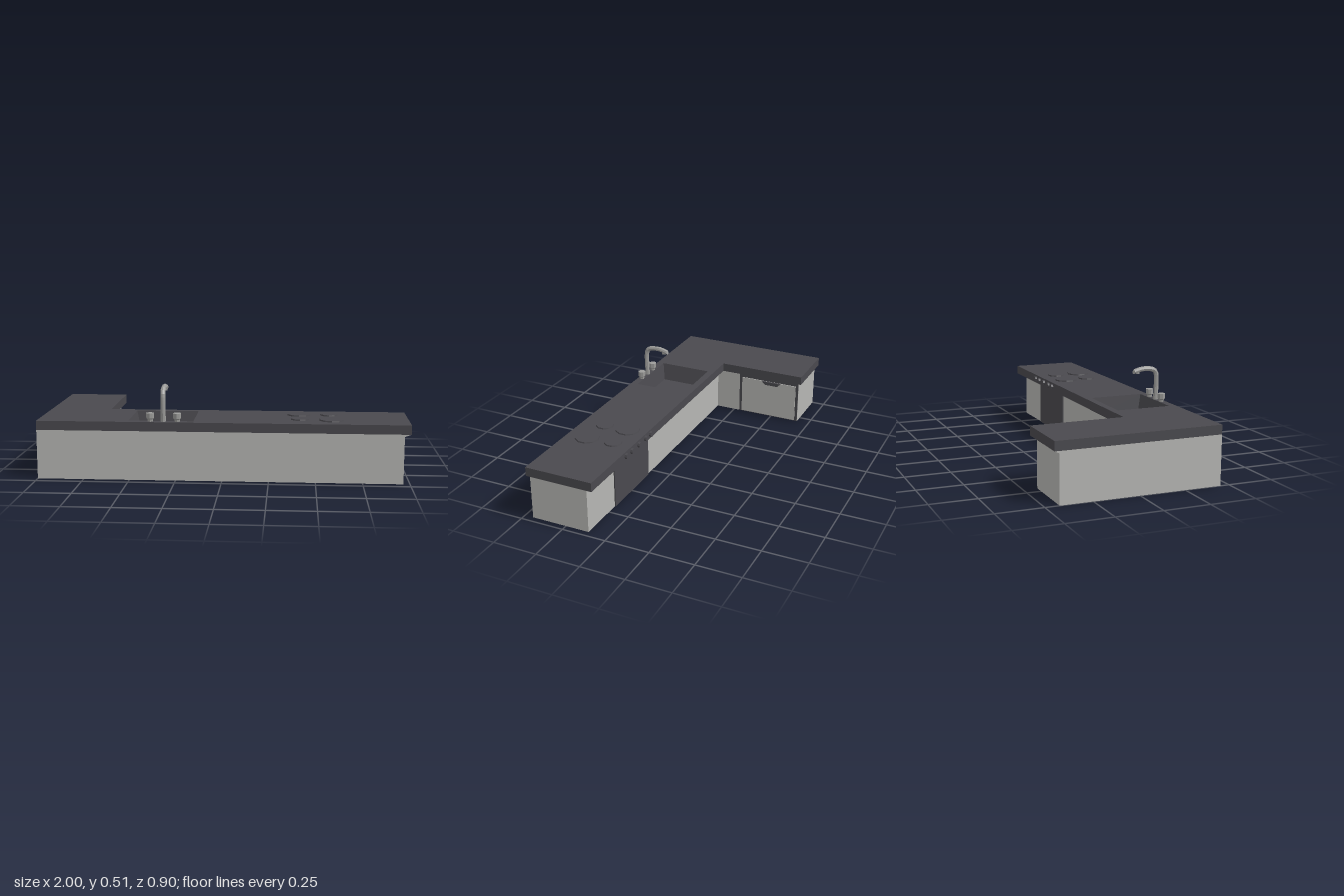
import * as THREE from 'three';

const dark = new THREE.MeshStandardMaterial({ color: 0x4a494e });
dark.name = 'darkStone';
const light = new THREE.MeshStandardMaterial({ color: 0xb6b6b3 });
light.name = 'lightCabinet';
const metal = new THREE.MeshStandardMaterial({ color: 0x9c9c9a });
metal.name = 'metal';

// Outlines are [x, z] pairs, counter-clockwise seen from above
const topOutline = [[-1, 0.45], [1, 0.45], [1, 0.065], [-0.66, 0.065], [-0.66, -0.45], [-1, -0.45]];
const baseOutline = [[-1, 0.45], [0.965, 0.45], [0.965, 0.115], [-0.695, 0.115], [-0.695, -0.425], [-1, -0.425]];
const COUNTER_BOTTOM = 0.268, COUNTER_TOP = 0.318;

function flat(geometry) {
  const g = geometry.index ? geometry.toNonIndexed() : geometry;
  g.computeVertexNormals();
  return g;
}

function add(parent, name, geometry, material, x = 0, y = 0, z = 0) {
  const mesh = new THREE.Mesh(geometry, material);
  mesh.name = name;
  mesh.position.set(x, y, z);
  parent.add(mesh);
  return mesh;
}

// Flat-shaded walls joining two outlines at different heights
function loft(lower, y0, upper, y1) {
  const p = [];
  lower.forEach((a, i) => {
    const j = (i + 1) % lower.length;
    const b = lower[j], c = upper[j], d = upper[i];
    p.push(a[0], y0, a[1], b[0], y0, b[1], c[0], y1, c[1]);
    p.push(a[0], y0, a[1], c[0], y1, c[1], d[0], y1, d[1]);
  });
  const g = new THREE.BufferGeometry();
  g.setAttribute('position', new THREE.Float32BufferAttribute(p, 3));
  g.computeVertexNormals();
  return g;
}

const toShape = (pts, flip = 1) => new THREE.Shape(pts.map(([x, z]) => new THREE.Vector2(x, z * flip)));

export function createModel() {
  const model = new THREE.Group();
  model.name = 'kitchenCounter';

  // Cabinet walls, flared underside of the overhang, and bottom
  const cabinet = new THREE.Group();
  cabinet.name = 'cabinet';
  model.add(cabinet);
  add(cabinet, 'cabinetWalls', loft(baseOutline, 0, baseOutline, 0.256), light);
  add(cabinet, 'overhangUnderside', loft(baseOutline, 0.256, topOutline, COUNTER_BOTTOM), light);
  add(cabinet, 'cabinetBottom', new THREE.ShapeGeometry(toShape(baseOutline)).rotateX(Math.PI / 2), light);

  // Countertop with the sink opening (clockwise, so basin walls face inward)
  const rim = [[-0.505, 0.41], [-0.505, 0.105], [-0.155, 0.105], [-0.155, 0.41]];
  const floor = [[-0.482, 0.392], [-0.482, 0.122], [-0.163, 0.122], [-0.163, 0.392]];
  const topShape = toShape(topOutline, -1);
  topShape.holes.push(toShape(rim, -1));
  const slab = new THREE.ExtrudeGeometry(topShape, { depth: COUNTER_TOP - COUNTER_BOTTOM, bevelEnabled: false });
  add(model, 'countertop', slab.rotateX(-Math.PI / 2), dark, 0, COUNTER_BOTTOM, 0);

  // Sink basin
  const sink = new THREE.Group();
  sink.name = 'sink';
  model.add(sink);
  add(sink, 'sinkWalls', loft(floor, 0.22, rim, COUNTER_TOP), dark);
  add(sink, 'sinkFloor', new THREE.ShapeGeometry(toShape(floor, -1)).rotateX(-Math.PI / 2), dark, 0, 0.22, 0);

  // Faucet: bent spout, nozzle and two taps
  const faucet = new THREE.Group();
  faucet.name = 'faucet';
  model.add(faucet);
  const path = new THREE.CurvePath();
  const bends = [[0.318, 0.425], [0.472, 0.423], [0.489, 0.405], [0.496, 0.35], [0.493, 0.325], [0.483, 0.29]]
    .map(([y, z]) => new THREE.Vector3(-0.315, y, z));
  for (let i = 1; i < bends.length; i++) path.add(new THREE.LineCurve3(bends[i - 1], bends[i]));
  const curve = new THREE.CatmullRomCurve3(bends, false, 'centripetal');
  add(faucet, 'spout', flat(new THREE.TubeGeometry(curve, 18, 0.014, 8)), metal);
  const tip = add(faucet, 'spoutTip', flat(new THREE.CylinderGeometry(0.014, 0.014, 0.004, 8)), metal, -0.315, 0.483, 0.29);
  tip.rotation.x = -Math.PI / 2 + 0.28;
  add(faucet, 'nozzle', flat(new THREE.CylinderGeometry(0.012, 0.011, 0.016, 8)), metal, -0.315, 0.477, 0.312);
  for (const x of [-0.385, -0.24]) {
    const profile = [[0, 0], [0.014, 0], [0.015, 0.012], [0.021, 0.018], [0.022, 0.046], [0, 0.048]]
      .map(([r, y]) => new THREE.Vector2(r, y));
    add(faucet, 'tap', flat(new THREE.LatheGeometry(profile, 8)), metal, x, COUNTER_TOP, 0.425);
  }

  // Hob burners
  const burners = [[0.41, 0.175, 0.068], [0.575, 0.175, 0.05], [0.415, 0.315, 0.05], [0.585, 0.328, 0.068]];
  for (const [x, z, r] of burners) {
    add(model, 'burner', flat(new THREE.CylinderGeometry(r - 0.002, r, 0.008, 10)), dark, x, 0.321, z);
  }

  // Oven front and its control knobs on the counter edge
  add(model, 'ovenFront', new THREE.BoxGeometry(0.385, 0.25, 0.008), dark, 0.493, 0.126, 0.113);
  for (const x of [0.357, 0.415, 0.495, 0.575, 0.637]) {
    const knob = flat(new THREE.CylinderGeometry(0.016, 0.016, 0.016, 8).rotateX(Math.PI / 2));
    add(model, 'ovenKnob', knob, dark, x, 0.294, 0.06);
  }

  // Dishwasher on the inner face of the short leg
  const dishwasher = new THREE.Group();
  dishwasher.name = 'dishwasher';
  model.add(dishwasher);
  add(dishwasher, 'dishwasherFrame', new THREE.BoxGeometry(0.006, 0.252, 0.388), dark, -0.694, 0.128, -0.23);
  add(dishwasher, 'dishwasherDoor', new THREE.BoxGeometry(0.009, 0.229, 0.354), light, -0.69, 0.122, -0.231);
  const grip = new THREE.Shape([[-0.06, 0.01], [-0.04, -0.01], [0.04, -0.01], [0.06, 0.01]]
    .map(([x, y]) => new THREE.Vector2(x, y)));
  const handle = new THREE.ExtrudeGeometry(grip, { depth: 0.012, bevelEnabled: false }).rotateY(Math.PI / 2);
  add(dishwasher, 'dishwasherHandle', handle, dark, -0.688, 0.227, -0.25);

  return model;
}
